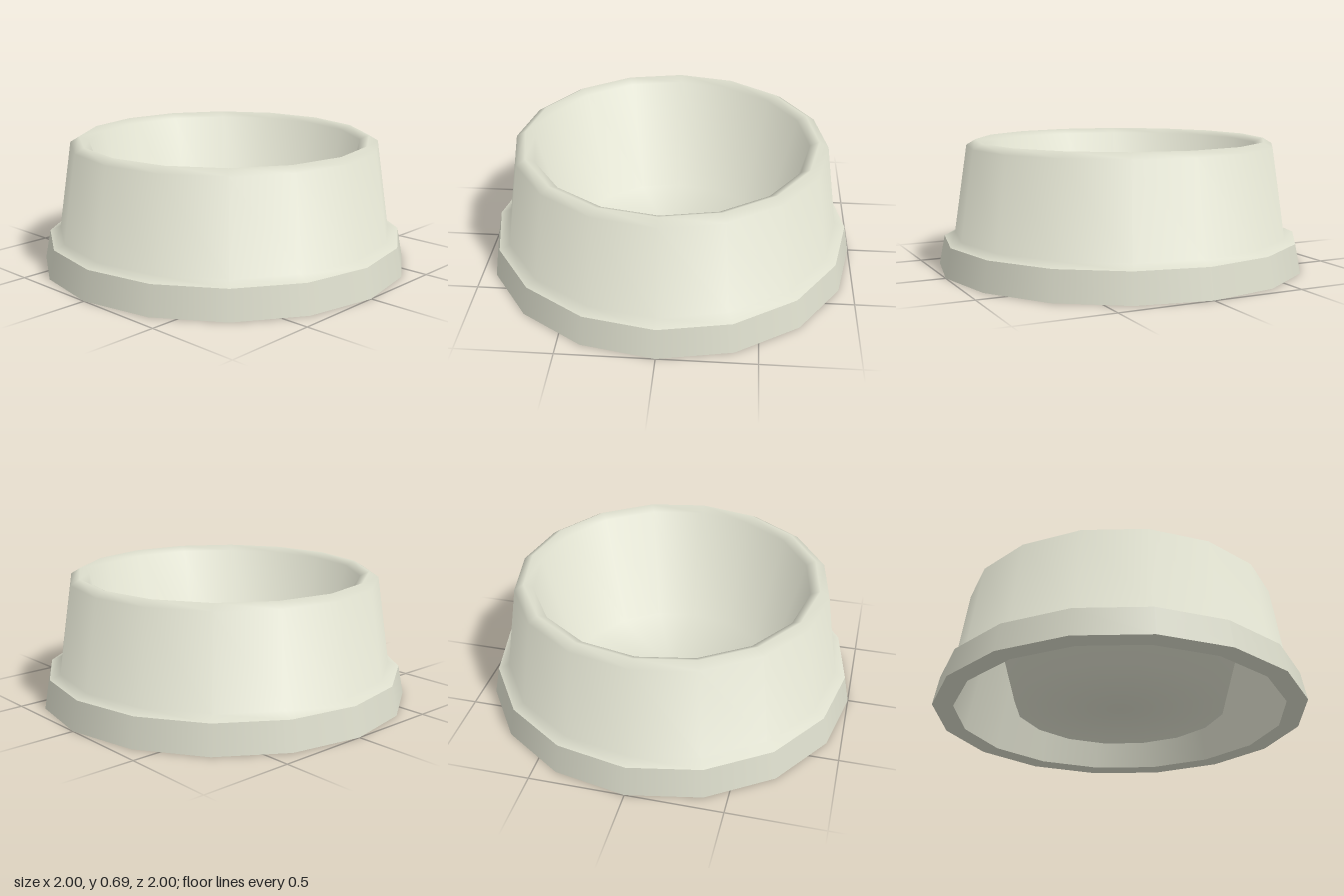
import * as THREE from 'three';

export function createModel() {
  const group = new THREE.Group();
  group.name = 'bowl';
  const stone = new THREE.MeshStandardMaterial({ color: 0xdcddcc, side: THREE.DoubleSide });
  stone.name = 'paleStone';
  const SIDES = 16;

  // Each part is a 16-sided turned profile; seams between parts stay sharp.
  // Normals average neighbouring bands equally, for soft shading inside a part.
  const turn = (name, profile) => {
    const points = profile.map(([r, y]) => new THREE.Vector2(r, y));
    const bands = points.slice(1).map((p, i) =>
      new THREE.Vector2(p.y - points[i].y, points[i].x - p.x).normalize());
    const soft = points.map((p, i) => {
      if (p.x === 0) return new THREE.Vector2(0, 1);
      const before = bands[Math.max(i - 1, 0)];
      const after = bands[Math.min(i, bands.length - 1)];
      return before.clone().add(after).normalize();
    });
    const geometry = new THREE.LatheGeometry(points, SIDES);
    const normal = geometry.attributes.normal;
    for (let s = 0; s <= SIDES; s++) {
      const a = (s / SIDES) * Math.PI * 2;
      soft.forEach((n, j) =>
        normal.setXYZ(s * soft.length + j, n.x * Math.sin(a), n.y, n.x * Math.cos(a)));
    }
    const mesh = new THREE.Mesh(geometry, stone);
    mesh.name = name;
    group.add(mesh);
  };

  // Flared band around the foot
  turn('footBand', [[1, 0], [0.97, 0.155]]);

  // Ledge, tapered side, rounded rim and dish in one smooth sweep
  turn('sideRimAndDish', [
    [0.97, 0.155], [0.912, 0.18], [0.84, 0.655], [0.79, 0.685],
    [0.74, 0.66], [0.57, 0.045], [0, 0.035],
  ]);

  // Flat ring the bowl stands on
  turn('baseRing', [[0.89, 0], [1, 0]]);

  // Hollow inside of the side wall, seen from below
  turn('innerWall', [[0.75, 0.64], [0.89, 0]]);

  return group;
}
